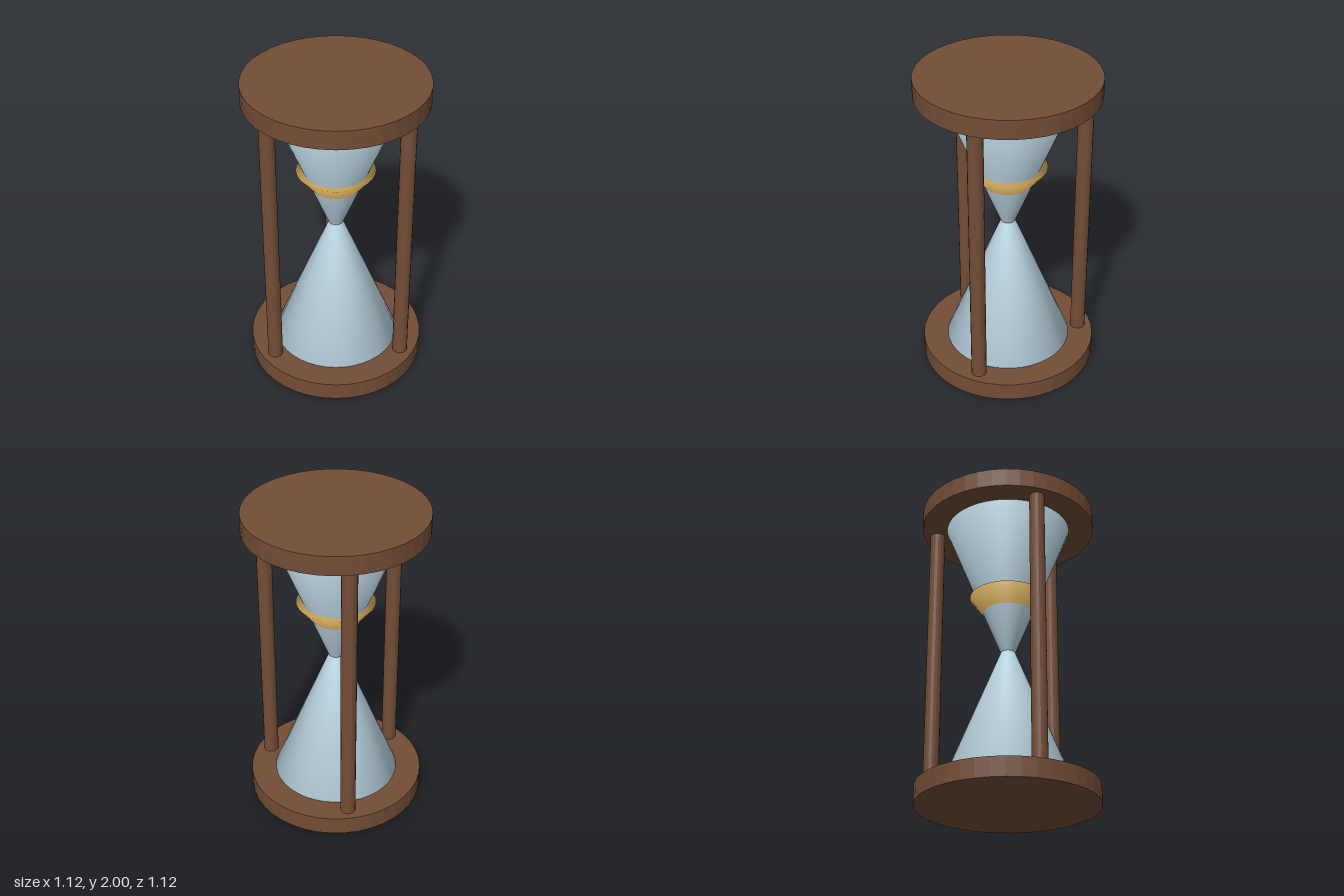
import * as THREE from 'three';

const material = (name, color) => {
  const m = new THREE.MeshStandardMaterial({ color });
  m.name = name;
  return m;
};

// Cylinder with crisp facets
function facetedCylinder(radius, height, sides) {
  const g = new THREE.CylinderGeometry(radius, radius, height, sides).toNonIndexed();
  g.computeVertexNormals();
  return g;
}

// Closed truncated cone with normals softened across its rims
function softCone(y0, r0, y1, r1) {
  const profile = [[0, y0], [r0, y0], [r1, y1], [0, y1]];
  return new THREE.LatheGeometry(profile.map(([r, y]) => new THREE.Vector2(r, y)), 40);
}

export function createModel() {
  const wood = material('wood', 0x734d36);
  const glass = material('glass', 0xbcd6e4);
  const sand = material('sand', 0xdeb362);

  const model = new THREE.Group();
  model.name = 'hourglass';
  const add = (name, geometry, mat, x = 0, y = 0, z = 0) => {
    const mesh = new THREE.Mesh(geometry, mat);
    mesh.name = name;
    mesh.position.set(x, y, z);
    model.add(mesh);
  };

  // End plates
  const plateHeight = 0.12;
  const plate = facetedCylinder(0.56, plateHeight, 40);
  add('bottomPlate', plate, wood, 0, plateHeight / 2);
  add('topPlate', plate, wood, 0, 2 - plateHeight / 2);

  // Three posts, evenly spaced around the glass
  const post = facetedCylinder(0.048, 2 - 2 * plateHeight, 16);
  for (let i = 0; i < 3; i++) {
    const a = (i * Math.PI * 2) / 3;
    add(`post${i + 1}`, post, wood, 0.47 * Math.cos(a), 1, 0.47 * Math.sin(a));
  }

  // Glass bulbs meeting at the neck
  add('lowerBulb', softCone(plateHeight, 0.4, 1, 0.045), glass);
  add('upperBulb', softCone(1, 0.045, 2 - plateHeight, 0.4), glass);

  // Sand cone, its rim standing proud of the upper bulb
  add('sand', softCone(1.085, 0.001, 1.385, 0.245), sand);

  return model;
}
